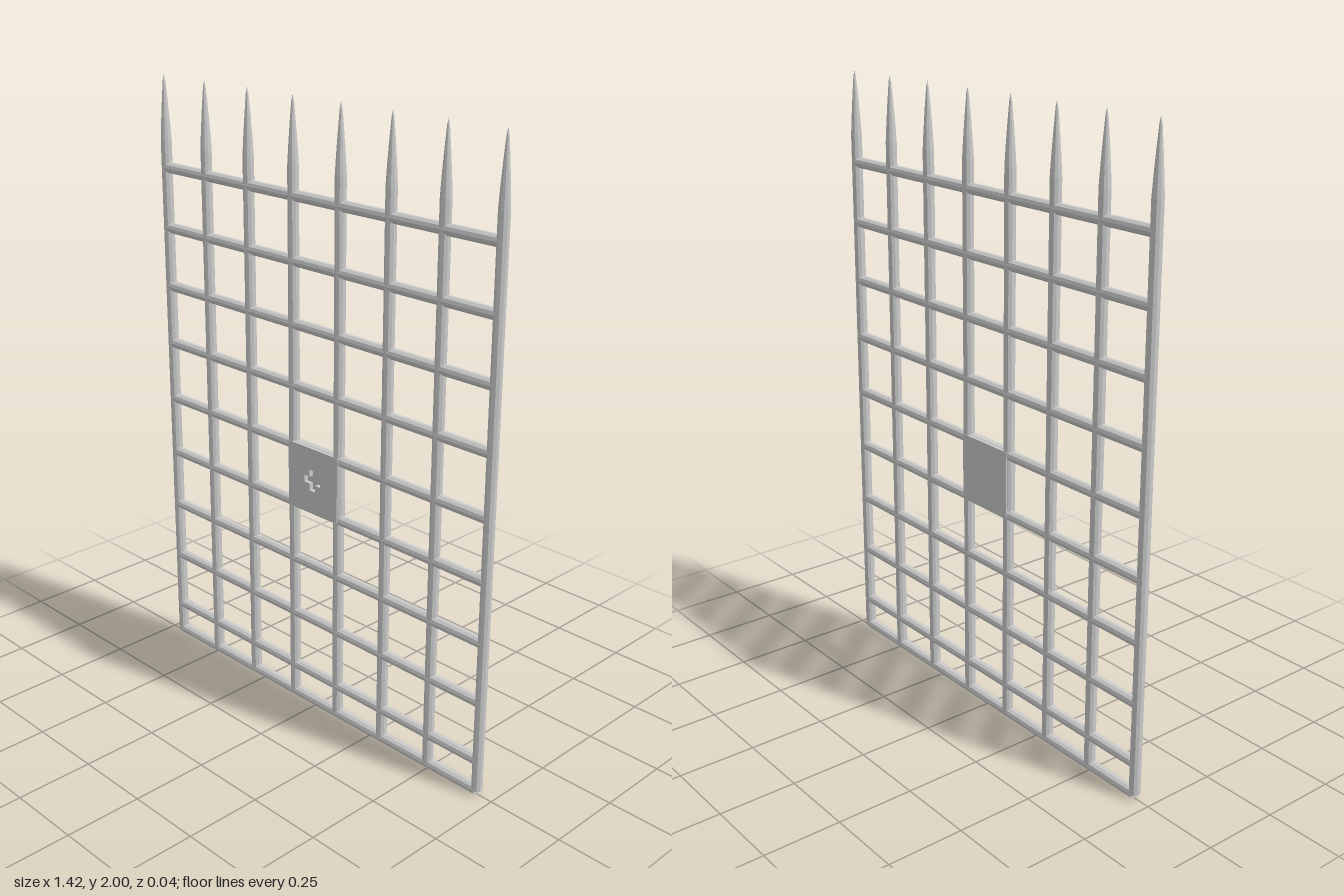
import * as THREE from 'three';

const material = new THREE.MeshStandardMaterial({ color: 0xcccccc, flatShading: true });
const RADIUS = 0.0175;
const SPACING = 0.198;

function addMesh(parent, name, geometry, x = 0, y = 0, z = 0) {
  const mesh = new THREE.Mesh(geometry, material);
  mesh.name = name;
  mesh.position.set(x, y, z);
  parent.add(mesh);
  return mesh;
}

// Upright bar with a long, slightly bellied spear point
function uprightGeometry() {
  const profile = [
    [0, 0.018], [RADIUS, 0.018], [RADIUS, 1.79], [0.014, 1.85],
    [0.009, 1.92], [0.004, 1.98], [0, 2],
  ].map(([r, y]) => new THREE.Vector2(r, y));
  return new THREE.LatheGeometry(profile, 10);
}

// Plus-shaped outline, used for the keyhole
function plusPath(reach, half) {
  const path = new THREE.Path();
  for (let i = 0; i < 4; i++) {
    const c = Math.round(Math.cos(i * Math.PI / 2));
    const s = Math.round(Math.sin(i * Math.PI / 2));
    for (const [x, y] of [[reach, -half], [reach, half], [half, half]]) {
      const px = x * c - y * s, py = x * s + y * c;
      if (path.curves.length === 0 && path.currentPoint.lengthSq() === 0) path.moveTo(px, py);
      else path.lineTo(px, py);
    }
  }
  path.closePath();
  return path;
}

// Lock plate: solid back with a front layer pierced by the keyhole
function lockPlate() {
  const group = new THREE.Group();
  group.name = 'lockPlate';
  const half = 0.108;
  const face = new THREE.Shape([
    new THREE.Vector2(-half, -half), new THREE.Vector2(half, -half),
    new THREE.Vector2(half, half), new THREE.Vector2(-half, half),
  ]);
  face.holes.push(plusPath(0.035, 0.012));
  addMesh(group, 'plateFront', new THREE.ExtrudeGeometry(face, { depth: 0.014, bevelEnabled: false }), 0, 0, 0.004);
  addMesh(group, 'plateBack', new THREE.BoxGeometry(half * 2, half * 2, 0.022), 0, 0, -0.007);
  group.position.set(0, 0.818, 0);
  return group;
}

export function createModel() {
  const model = new THREE.Group();
  model.name = 'portcullis';

  // Eight spear-tipped uprights
  const upright = uprightGeometry();
  for (let i = 0; i < 8; i++) addMesh(model, 'upright' + (i + 1), upright, (i - 3.5) * SPACING);

  // Crossbars: evenly spaced, plus one extra at the foot
  const crossbar = new THREE.CylinderGeometry(RADIUS, RADIUS, SPACING * 7, 10);
  crossbar.rotateZ(Math.PI / 2);
  const heights = [RADIUS];
  for (let i = 0; i < 9; i++) heights.push(0.12 + i * SPACING);
  heights.forEach((y, i) => addMesh(model, 'crossbar' + (i + 1), crossbar, 0, y));

  model.add(lockPlate());
  return model;
}
